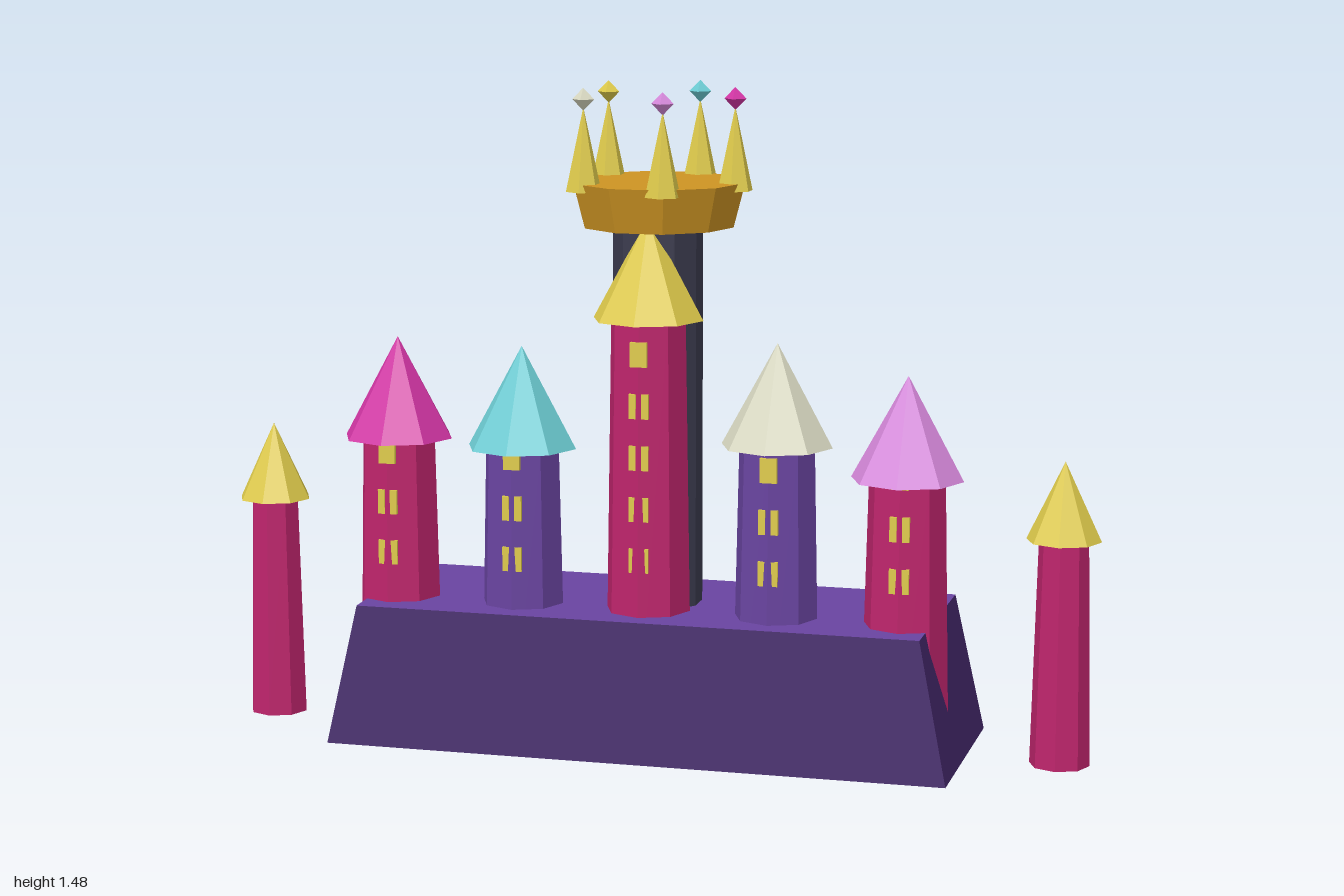
import * as THREE from 'three';

const mat = (name, color) => {
  const m = new THREE.MeshStandardMaterial({ color });
  m.name = name;
  return m;
};

export function createModel() {
  const gold = mat('gold', 0xdfcb4b);
  const teal = mat('teal', 0x6dcdd4);
  const cream = mat('cream', 0xd9d9c2);
  const magenta = mat('magenta', 0xd436a6);
  const orchid = mat('orchid', 0xd789dc);
  const crimson = mat('crimson', 0xbe246c);
  const purple = mat('purple', 0x6944a0);
  const darkPurple = mat('dark purple', 0x45286c);
  const amber = mat('amber', 0xcd9423);
  const charcoal = mat('charcoal', 0x3b3b4e);
  for (const m of [purple, darkPurple]) m.side = THREE.DoubleSide;

  const root = new THREE.Group();
  root.name = 'castle';

  // Adds a faceted mesh
  const add = (parent, name, geometry, material, x = 0, y = 0, z = 0) => {
    const flat = geometry.index ? geometry.toNonIndexed() : geometry;
    flat.computeVertexNormals();
    const mesh = new THREE.Mesh(flat, material);
    mesh.name = name;
    mesh.position.set(x, y, z);
    parent.add(mesh);
    return mesh;
  };

  // Tapered body or cone standing on y0
  const taper = (parent, name, rTop, rBottom, y0, y1, sides, material, x = 0, z = 0) =>
    add(parent, name, new THREE.CylinderGeometry(rTop, rBottom, y1 - y0, sides), material, x, (y0 + y1) / 2, z);

  const cone = (parent, name, r, y0, y1, sides, material, x = 0, z = 0) =>
    add(parent, name, new THREE.ConeGeometry(r, y1 - y0, sides), material, x, (y0 + y1) / 2, z);

  // Plinth: four sloping walls, open below, with a lighter floor on top
  const baseHeight = 0.316;
  const walls = new THREE.CylinderGeometry(1, 1, 1, 4, 1, true, Math.PI / 4);
  const p = walls.attributes.position;
  for (let i = 0; i < p.count; i++) {
    const top = p.getY(i) > 0;
    p.setXYZ(i,
      Math.sign(p.getX(i)) * (top ? 0.64 : 0.706),
      top ? baseHeight : 0,
      Math.sign(p.getZ(i)) * (top ? 0.225 : 0.25));
  }
  add(root, 'plinthWalls', walls, darkPurple);
  add(root, 'plinthTop', new THREE.PlaneGeometry(1.28, 0.45).rotateX(-Math.PI / 2), purple, 0, baseHeight, 0);

  // Front towers with roof and rows of windows
  const towerZ = 0.083;
  const pitch = 0.115;
  const towers = [
    { name: 'outerRightTower', x: -0.583, top: 0.68, window: 0.66, pairs: 2, body: crimson, roof: magenta },
    { name: 'innerRightTower', x: -0.292, top: 0.67, window: 0.66, pairs: 2, body: purple, roof: teal },
    { name: 'middleTower', x: 0, top: 0.97, window: 0.903, pairs: 4, body: crimson, roof: gold },
    { name: 'innerLeftTower', x: 0.292, top: 0.7, window: 0.66, pairs: 2, body: purple, roof: cream },
    { name: 'outerLeftTower', x: 0.583, top: 0.64, window: 0.66, pairs: 2, body: crimson, roof: orchid },
  ];
  for (const t of towers) {
    const g = new THREE.Group();
    g.name = t.name;
    g.position.set(t.x, 0, towerZ);
    root.add(g);
    taper(g, 'towerBody', 0.085, 0.1, 0, t.top, 8, t.body);
    cone(g, 'towerRoof', 0.125, t.top, t.top + 0.228, 8, t.roof);
    const pane = (w, x, y) => add(g, 'window', new THREE.BoxGeometry(w, 0.055, 0.0095), gold, x, y, 0.0825);
    pane(0.038, 0, t.window);
    for (let row = 1; row <= t.pairs; row++) {
      for (const side of [-1, 1]) pane(0.016, side * 0.014, t.window - row * pitch);
    }
  }

  // Free-standing side turrets
  for (const side of [-1, 1]) {
    const g = new THREE.Group();
    g.name = side > 0 ? 'leftTurret' : 'rightTurret';
    g.position.x = side * 0.916;
    root.add(g);
    taper(g, 'turretBody', 0.055, 0.067, 0, 0.505, 8, crimson);
    cone(g, 'turretRoof', 0.083, 0.505, 0.68, 8, gold);
  }

  // Tall keep with a flared crown
  taper(root, 'keep', 0.1, 0.1, baseHeight, 1.18, 10, charcoal);
  taper(root, 'crownRing', 0.198, 0.172, 1.168, 1.267, 10, amber).rotation.y = Math.PI / 2;

  // Crown spikes, each tipped with a jewel
  [magenta, orchid, cream, gold, teal].forEach((jewel, i) => {
    const a = (i / 5) * Math.PI * 2;
    const x = 0.175 * Math.cos(a), z = 0.175 * Math.sin(a);
    cone(root, 'crownSpike', 0.04, 1.25, 1.435, 6, gold, x, z);
    add(root, 'jewel', new THREE.OctahedronGeometry(0.025), jewel, x, 1.452, z);
  });

  return root;
}
